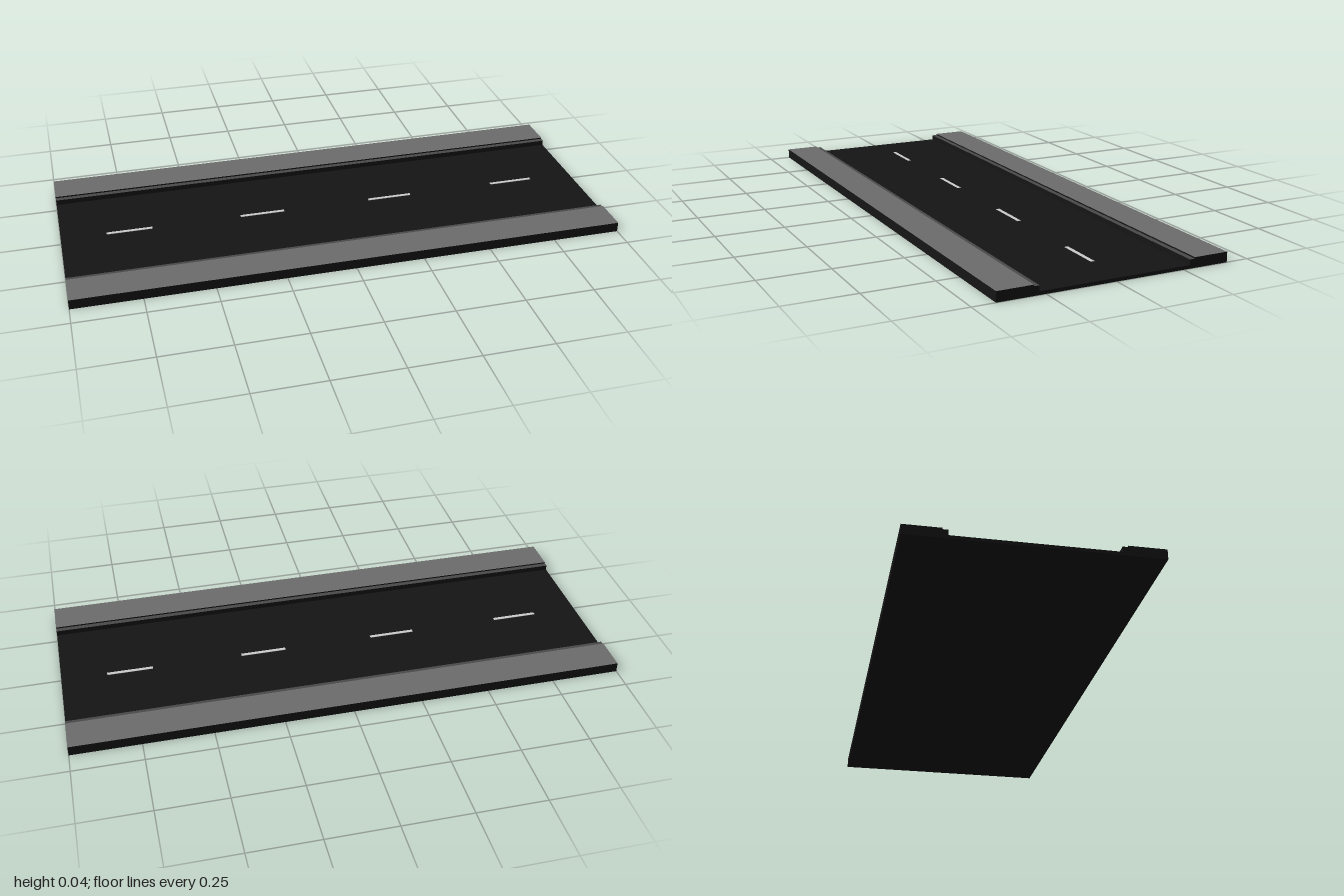
import * as THREE from 'three';

const asphalt = new THREE.MeshStandardMaterial({ color: 0x151515 });
const paving = new THREE.MeshStandardMaterial({ color: 0x6c6c6c });
const kerbStone = new THREE.MeshStandardMaterial({ color: 0x4a4a4a });
const paint = new THREE.MeshStandardMaterial({ color: 0xe8e8e8 });

// Flat strip running the whole length of the road between two [z, y] points
function strip([az, ay], [bz, by]) {
  const geo = new THREE.BufferGeometry();
  geo.setAttribute('position', new THREE.Float32BufferAttribute(
    [-1, ay, az, 1, ay, az, 1, by, bz, -1, by, bz], 3));
  geo.setIndex([0, 1, 2, 0, 2, 3]);
  geo.computeVertexNormals();
  return geo;
}

export function createModel() {
  const model = new THREE.Group();
  model.name = 'roadSection';
  const add = (name, geo, material) => {
    const mesh = new THREE.Mesh(geo, material);
    mesh.name = name;
    model.add(mesh);
    return mesh;
  };

  // Cross-section [z, y] of one side, mirrored to the other
  const half = [[0.419, 0], [0.419, 0.036], [0.292, 0.036], [0.292, 0.031], [0.273, 0.031], [0.273, 0.012]];
  const profile = [...half, ...half.map(([z, y]) => [-z, y]).reverse()];

  // One strip for every edge of the cross-section
  const sideParts = [
    ['OuterWall', asphalt], ['Sidewalk', paving], ['SidewalkRiser', asphalt],
    ['KerbTop', kerbStone], ['KerbFace', asphalt],
  ];
  const parts = [
    ...sideParts.map(([n, m]) => ['front' + n, m]),
    ['roadSurface', asphalt],
    ...sideParts.map(([n, m]) => ['back' + n, m]).reverse(),
    ['underside', asphalt],
  ];
  parts.forEach(([name, material], i) =>
    add(name, strip(profile[i], profile[(i + 1) % profile.length]), material));

  // End caps
  const section = new THREE.Shape(profile.map(([z, y]) => new THREE.Vector2(z, y)));
  for (const s of [1, -1]) {
    const cap = new THREE.ShapeGeometry(section).rotateY(s * Math.PI / 2).translate(s, 0, 0);
    add(s > 0 ? 'leftEnd' : 'rightEnd', cap, asphalt);
  }

  // Lane dashes, slightly off the centre line
  for (const x of [-0.75, -0.25, 0.25, 0.75]) {
    add('laneDash', new THREE.BoxGeometry(0.168, 0.002, 0.013), paint).position.set(x, 0.0125, -0.0145);
  }
  return model;
}
